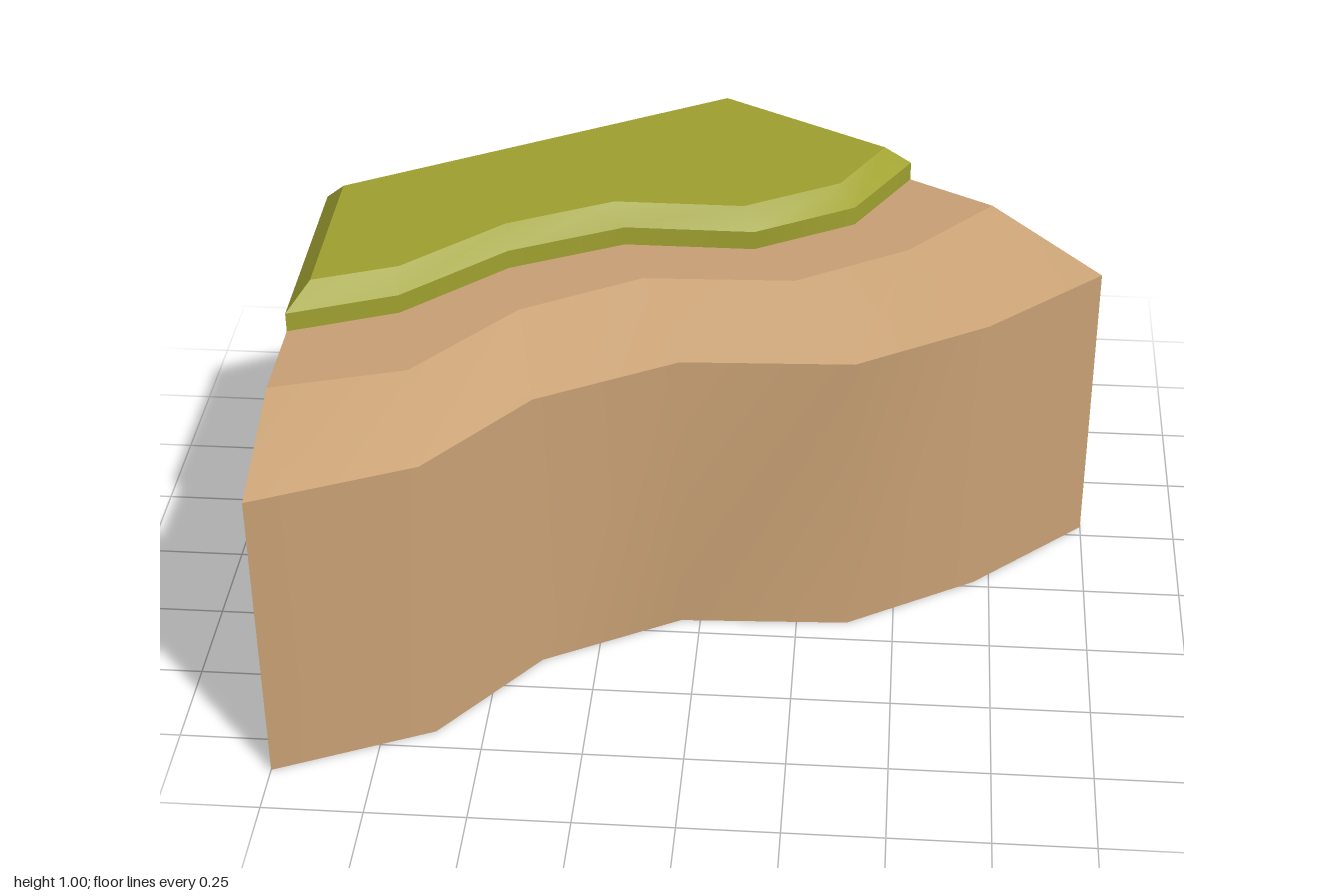
import * as THREE from 'three';
import { mergeGeometries, toCreasedNormals } from 'three/addons/utils/BufferGeometryUtils.js';

// Plan outlines as [x, z]; the bank lines run from the model's right to its left
const backEdge = [[-1, -0.288], [0, -0.865]];
const grassEdge = [[-1, 0.285], [-0.74, 0.18], [-0.5, -0.05], [-0.22, -0.187], [0.11, -0.187], [0.36, -0.33], [0.5, -0.577]];
const crest = [[-1, 0.535], [-0.68, 0.435], [-0.45, 0.145], [-0.16, -0.025], [0.22, -0.04], [0.5, -0.21], [0.715, -0.453]];
const foot = [[-1, 0.863], [-0.62, 0.69], [-0.39, 0.39], [-0.05, 0.2], [0.38, 0.18], [0.71, -0.02], [1, -0.288]];
const grassRim = [...backEdge, ...grassEdge.slice().reverse()];
const grassTop = [[-0.95, -0.26], [0, -0.81], [0.43, -0.565], [0.32, -0.365], [0.08, -0.23],
  [-0.25, -0.23], [-0.51, -0.1], [-0.745, 0.125], [-0.95, 0.205]];

const at = (line, y) => line.map(([x, z]) => new THREE.Vector3(x, y, z));

function fromPoints(points) {
  const g = new THREE.BufferGeometry().setFromPoints(points);
  g.computeVertexNormals();
  return toCreasedNormals(g, 0.6);
}

// Ribbon of quads between two lines, smooth along its gentle bends
function strip(a, b, closed = false) {
  const points = [];
  const count = closed ? a.length : a.length - 1;
  for (let i = 0; i < count; i++) {
    const j = (i + 1) % a.length;
    points.push(a[i], b[i], a[j], a[j], b[i], b[j]);
  }
  return fromPoints(points);
}

// Convex end face
function fan(p) {
  const points = [];
  for (let i = 1; i < p.length - 1; i++) points.push(p[0], p[i], p[i + 1]);
  return fromPoints(points);
}

// Flat horizontal face, up = 1 faces upward and -1 downward
function cap(line, y, up) {
  const shape = new THREE.Shape(line.map(([x, z]) => new THREE.Vector2(x, -up * z)));
  const g = new THREE.ShapeGeometry(shape).rotateX(-up * Math.PI / 2).translate(0, y, 0).toNonIndexed();
  g.deleteAttribute('uv');
  return g;
}

export function createModel() {
  const group = new THREE.Group();
  group.name = 'riverBankTile';
  const grass = new THREE.MeshStandardMaterial({ color: 0xa0a230 });
  grass.name = 'grass green';
  const earth = new THREE.MeshStandardMaterial({ color: 0xc9a175 });
  earth.name = 'earth brown';

  const add = (name, parts, material) => {
    const mesh = new THREE.Mesh(mergeGeometries(parts), material);
    mesh.name = name;
    group.add(mesh);
  };

  // Grass block with a bevelled top
  add('grassBlock', [
    strip(at(grassRim, 0), at(grassRim, 0.95), true),
    strip(at(grassRim, 0.95), at(grassTop, 1), true),
    cap(grassTop, 1, 1),
    cap(grassRim, 0, -1),
  ], grass);

  // Earth bank: flat ledge, slope, front wall and underside
  const rows = [at(grassEdge, 0.9), at(crest, 0.9), at(foot, 0.8), at(foot, 0), at(grassEdge, 0)];
  const bank = [];
  for (let i = 0; i < rows.length - 1; i++) bank.push(strip(rows[i], rows[i + 1]));
  // End faces
  const last = foot.length - 1;
  bank.push(fan(rows.map((r) => r[last])), fan(rows.map((r) => r[0]).reverse()));
  add('earthBank', bank, earth);

  return group;
}
